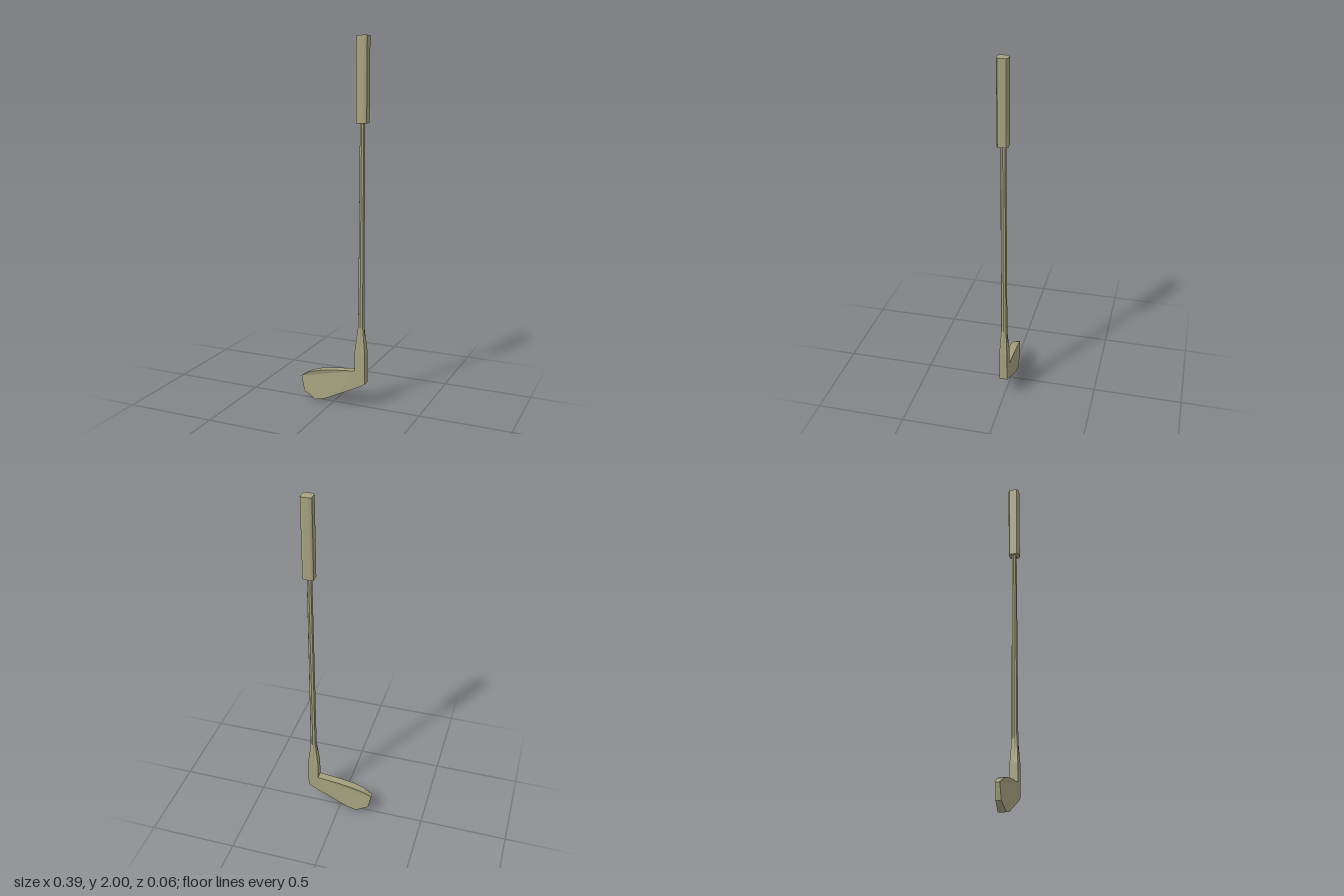
import * as THREE from 'three';

const AXIS_X = 0.162, AXIS_Z = -0.001;

const material = new THREE.MeshStandardMaterial({ color: 0xa6a380, flatShading: true });

function addMesh(group, name, geometry) {
  const mesh = new THREE.Mesh(geometry, material);
  mesh.name = name;
  group.add(mesh);
  return mesh;
}

// Flat-sided skin through rings of [x, z] points, each ring at its own height (bottom to top)
function loft(rings) {
  const n = rings[0].points.length;
  const positions = [], index = [];
  for (const { y, points } of rings) for (const [x, z] of points) positions.push(x, y, z);
  for (let r = 0; r < rings.length - 1; r++) {
    for (let i = 0; i < n; i++) {
      const a = r * n + i, b = r * n + (i + 1) % n;
      index.push(a, a + n, b, b, a + n, b + n);
    }
  }
  const geometry = new THREE.BufferGeometry();
  geometry.setAttribute('position', new THREE.Float32BufferAttribute(positions, 3));
  geometry.setIndex(index);
  const flat = geometry.toNonIndexed();
  flat.computeVertexNormals();
  return flat;
}

// Octagon with corners on the axes; same order as rectangleRing
function octagonRing(r) {
  return Array.from({ length: 8 }, (_, i) => {
    const a = i * Math.PI / 4;
    return [r * Math.cos(a), r * Math.sin(a)];
  });
}

// Rectangle given by its corners and the middles of its sides
function rectangleRing(hx, hz) {
  return [[1, 0], [1, 1], [0, 1], [-1, 1], [-1, 0], [-1, -1], [0, -1], [1, -1]]
    .map(([x, z]) => [x * hx, z * hz]);
}

// Half thickness of the head, thinning toward the toe
function halfThickness(x) {
  if (x >= -0.085) return 0.022;
  if (x >= -0.15) return THREE.MathUtils.mapLinear(x, -0.15, -0.085, 0.0185, 0.022);
  return THREE.MathUtils.mapLinear(x, -0.195, -0.15, 0.011, 0.0185);
}

function headGeometry() {
  const outline = [
    [0.192, 0.31], [0.132, 0.31], [0.132, 0.205], [0, 0.191], [-0.085, 0.176], [-0.145, 0.157],
    [-0.195, 0.125], [-0.177, 0.04], [-0.105, 0], [-0.05, 0.014], [0.01, 0.043], [0.16, 0.117], [0.192, 0.136],
  ].map(([x, y]) => new THREE.Vector2(x, y));
  const geometry = new THREE.ExtrudeGeometry(new THREE.Shape(outline), { depth: 2, bevelEnabled: false });
  geometry.translate(0, 0, -1);
  const p = geometry.attributes.position;
  for (let i = 0; i < p.count; i++) p.setZ(i, p.getZ(i) * halfThickness(p.getX(i)) + AXIS_Z);
  geometry.computeVertexNormals();
  return geometry;
}

// Square with rounded corners, run straight up
function gripGeometry() {
  const quarter = [[0.03, 0.021], [0.025, 0.026], [0.015, 0.0295]];
  const mirrored = quarter.map(([x, z]) => [-x, z]).reverse();
  const half = [...quarter, ...mirrored];
  const points = [...half, ...half.map(([x, z]) => [-x, -z])];
  const shape = new THREE.Shape(points.map(([x, z]) => new THREE.Vector2(x, z)));
  const geometry = new THREE.ExtrudeGeometry(shape, { depth: 0.445, bevelEnabled: false });
  geometry.rotateX(-Math.PI / 2);
  return geometry;
}

export function createModel() {
  const group = new THREE.Group();
  group.name = 'golfClub';

  addMesh(group, 'head', headGeometry());

  // Neck blending the rectangular heel into the octagonal shaft
  const neck = addMesh(group, 'neck', loft([
    { y: 0.31, points: rectangleRing(0.03, 0.022) },
    { y: 0.46, points: octagonRing(0.018) },
  ]));
  neck.position.set(AXIS_X, 0, AXIS_Z);

  // Slightly tapering shaft, running into the grip
  const shaft = addMesh(group, 'shaft', loft([
    { y: 0.46, points: octagonRing(0.018) },
    { y: 1.57, points: octagonRing(0.0145) },
  ]));
  shaft.position.set(AXIS_X, 0, AXIS_Z);

  const grip = addMesh(group, 'grip', gripGeometry());
  grip.position.set(AXIS_X + 0.001, 1.555, AXIS_Z);

  return group;
}
